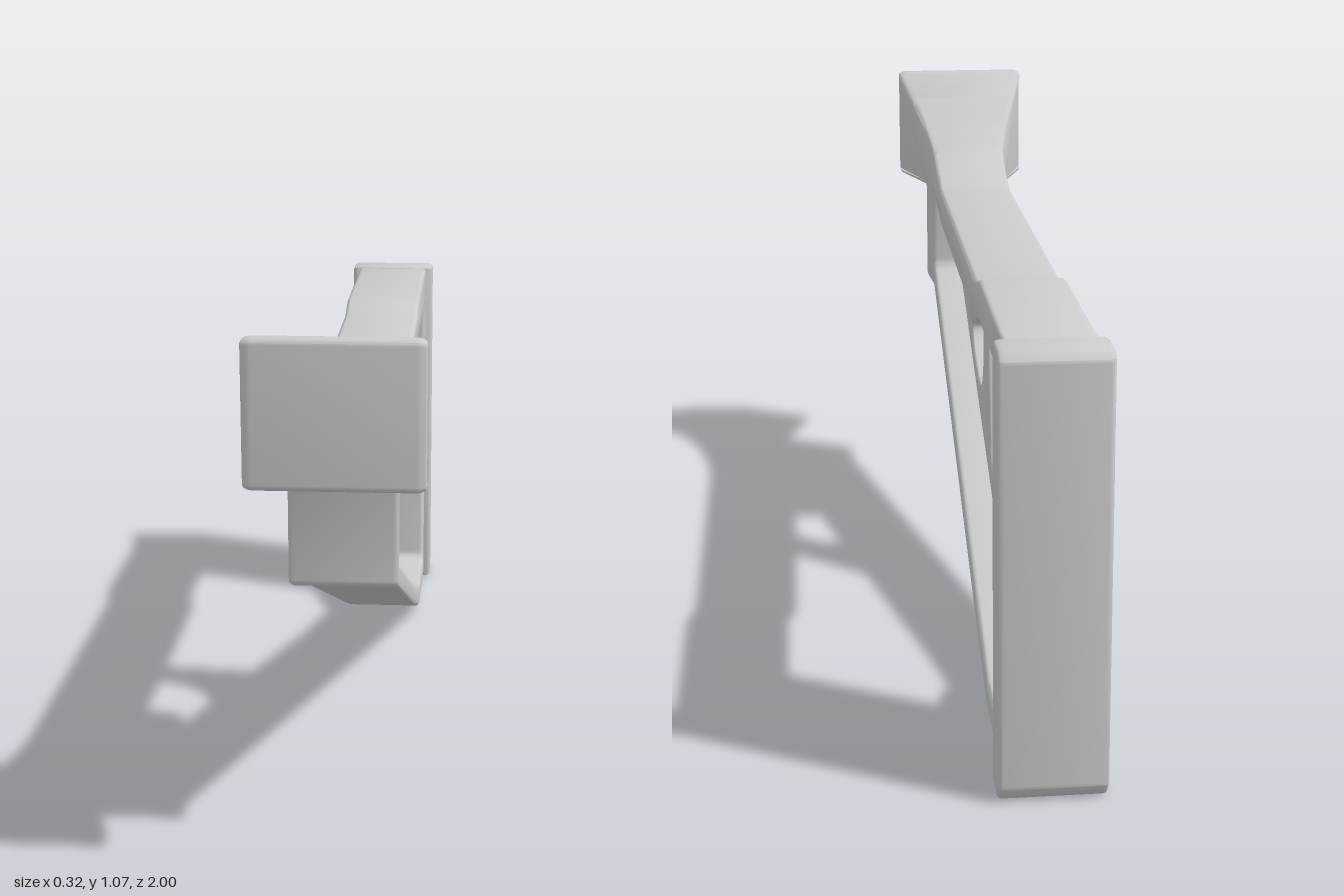
import * as THREE from 'three';
import { toCreasedNormals } from 'three/addons/utils/BufferGeometryUtils.js';

const material = new THREE.MeshStandardMaterial({ color: 0xcccccc });

// Trace a closed outline of [z, y, cornerRadius?] points with rounded corners
function trace(path, points, radius) {
  const pts = points.map(([z, y]) => new THREE.Vector2(z, y));
  const n = pts.length;
  pts.forEach((p, i) => {
    const prev = pts[(i + n - 1) % n], next = pts[(i + 1) % n];
    const r = points[i][2] ?? radius;
    const a = p.clone().lerp(prev, Math.min(0.49, r / p.distanceTo(prev)));
    const b = p.clone().lerp(next, Math.min(0.49, r / p.distanceTo(next)));
    if (i === 0) path.moveTo(a.x, a.y);
    else path.lineTo(a.x, a.y);
    path.quadraticCurveTo(p.x, p.y, b.x, b.y);
  });
  path.closePath();
  return path;
}

// Extrude a side profile across x with softened edges
function slab(name, shape, halfWidth, bevel, widen) {
  const depth = 2 * (halfWidth - bevel);
  const geo = new THREE.ExtrudeGeometry(shape, {
    depth, curveSegments: 5, bevelEnabled: true, bevelSegments: 3,
    bevelSize: bevel, bevelThickness: bevel, bevelOffset: -bevel,
  });
  geo.translate(0, 0, -depth / 2);
  geo.rotateY(-Math.PI / 2);
  if (widen) {
    const pos = geo.attributes.position;
    for (let i = 0; i < pos.count; i++) pos.setX(i, pos.getX(i) * widen(pos.getZ(i)));
  }
  const mesh = new THREE.Mesh(toCreasedNormals(geo, 0.6), material);
  mesh.name = name;
  return mesh;
}

// Width multiplier: straight body flaring out to the front block
function flare(z) {
  if (z < 0.63) return 1;
  if (z < 0.73) return 1 + 0.03 * (z - 0.63) / 0.1;
  if (z < 0.8) return 1.03 + 0.16 * (z - 0.73) / 0.07;
  return 1.19 + 0.63 * Math.min(1, (z - 0.8) / 0.16);
}

export function createModel() {
  const group = new THREE.Group();
  group.name = 'shoulderStock';

  // Outer rim with the flared front block, open in the middle
  const outer = [
    [1, 0.8], [1, 1.07], [0.965, 1.07], [0.88, 1.007], [0.8, 0.947], [0.72, 0.898],
    [0.63, 0.863], [0.53, 0.84], [-0.39, 0.84], [-0.47, 0.863], [-0.91, 0.863, 0.003],
    [-0.91, 0.015, 0.003], [-0.62, 0.015], [-0.4, 0.095], [0.73, 0.545], [0.8, 0.56],
    [0.8, 0.8, 0.003], [0.88, 0.8], [0.96, 0.8],
  ];
  const recess = [
    [0.73, 0.8], [0.53, 0.755], [-0.4, 0.755], [-0.46, 0.78], [-0.86, 0.78],
    [-0.86, 0.07], [-0.64, 0.07], [-0.41, 0.145], [0.73, 0.6],
  ];
  const rim = trace(new THREE.Shape(), outer, 0.012);
  rim.holes.push(trace(new THREE.Path(), recess, 0.02));
  group.add(slab('frame', rim, 0.088, 0.01, flare));

  // Thin web inside the rim, its border tucked into the frame
  const cz = -0.065, cy = 0.43;
  const web = trace(new THREE.Shape(),
    recess.map(([z, y]) => [cz + (z - cz) * 1.03, cy + (y - cy) * 1.06]), 0.01);
  const gripHole = [
    [0.28, 0.71], [0.25, 0.732], [0.14, 0.732], [0.107, 0.69], [0.085, 0.6],
    [0.1, 0.5], [0.15, 0.445], [0.22, 0.445], [0.34, 0.485], [0.388, 0.53],
    [0.36, 0.555], [0.29, 0.555], [0.27, 0.58], [0.278, 0.64],
  ];
  const rearHole = [
    [0.008, 0.7], [-0.015, 0.732], [-0.385, 0.732], [-0.45, 0.755], [-0.65, 0.755],
    [-0.7, 0.715], [-0.7, 0.26], [-0.678, 0.222], [-0.61, 0.208], [-0.57, 0.165],
    [-0.5, 0.165], [-0.42, 0.198], [-0.115, 0.315], [-0.062, 0.352], [-0.04, 0.43],
    [0.005, 0.65],
  ];
  web.holes.push(trace(new THREE.Path(), gripHole, 0.06));
  web.holes.push(trace(new THREE.Path(), rearHole, 0.03));
  group.add(slab('web', web, 0.023, 0.005));

  // Butt pad closing the rear end
  const pad = trace(new THREE.Shape(), [
    [-0.905, 0.002], [-0.98, 0.002], [-1, 0.03], [-1, 0.85], [-0.98, 0.866], [-0.905, 0.866],
  ], 0.006);
  group.add(slab('buttPad', pad, 0.104, 0.01));

  return group;
}
